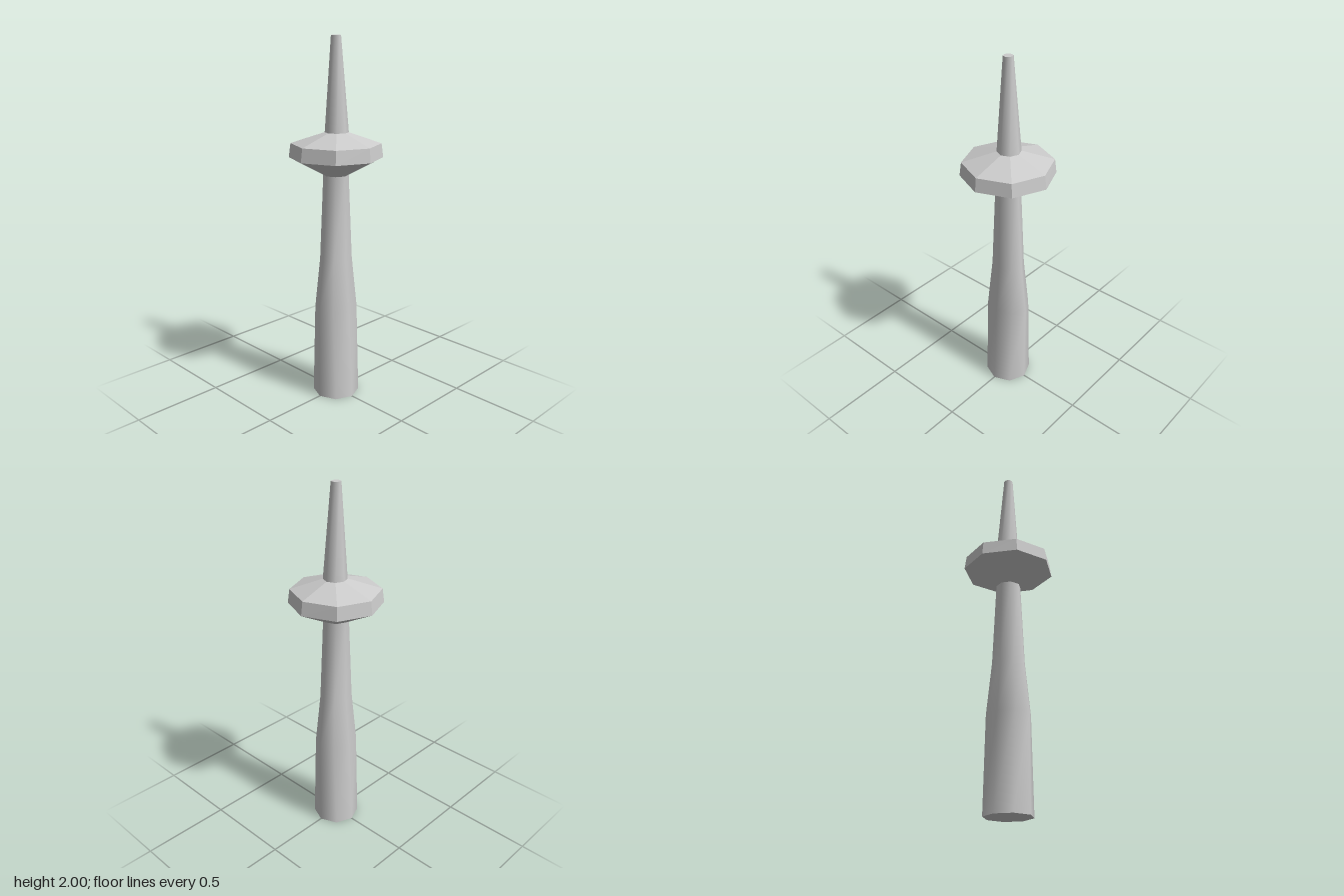
import * as THREE from 'three';

const SIDES = 8;

// Lofts eight-sided rings [y, radiusX, radiusZ, centreZ] into a skin, optionally with flat end caps.
function loft(name, rings, { flat = false, bottom = false, top = false } = {}) {
  const pos = [], index = [];
  const addRing = ([y, rx, rz, cz = 0]) => {
    const start = pos.length / 3;
    for (let i = 0; i < SIDES; i++) {
      const a = (i / SIDES) * Math.PI * 2;
      pos.push(rx * Math.sin(a), y, cz + rz * Math.cos(a));
    }
    return start;
  };
  rings.forEach(addRing);
  for (let r = 0; r < rings.length - 1; r++) {
    for (let i = 0; i < SIDES; i++) {
      const j = (i + 1) % SIDES;
      const a = r * SIDES + i, b = r * SIDES + j;
      index.push(a, b, b + SIDES, a, b + SIDES, a + SIDES);
    }
  }
  // Caps have their own corners so their edges stay sharp
  const cap = (ring, up) => {
    const s = addRing(ring);
    for (let i = 1; i < SIDES - 1; i++) {
      if (up) index.push(s, s + i, s + i + 1);
      else index.push(s, s + i + 1, s + i);
    }
  };
  if (bottom) cap(rings[0], false);
  if (top) cap(rings[rings.length - 1], true);

  const geometry = new THREE.BufferGeometry();
  geometry.setAttribute('position', new THREE.Float32BufferAttribute(pos, 3));
  geometry.setIndex(index);
  geometry.computeVertexNormals();
  const material = new THREE.MeshStandardMaterial({ color: 0xcccccc, flatShading: flat });
  const mesh = new THREE.Mesh(geometry, material);
  mesh.name = name;
  return mesh;
}

export function createModel() {
  const group = new THREE.Group();
  group.name = 'tower';

  // Shaft: narrows steadily in width, but keeps its depth up to the shoulder
  group.add(loft('shaft', [
    [0, 0.13, 0.13],
    [0.52, 0.102, 0.131],
    [0.81, 0.077, 0.098],
    [1.275, 0.068, 0.069],
  ], { bottom: true }));

  // Faceted observation deck
  group.add(loft('observationDeck', [
    [1.275, 0.068, 0.069],
    [1.37, 0.252, 0.252],
    [1.445, 0.243, 0.241],
    [1.503, 0.064, 0.064, -0.006],
  ], { flat: true }));

  // Spire, leaning very slightly forward
  group.add(loft('spire', [
    [1.503, 0.064, 0.064, -0.006],
    [2, 0.026, 0.026],
  ], { top: true }));

  return group;
}
